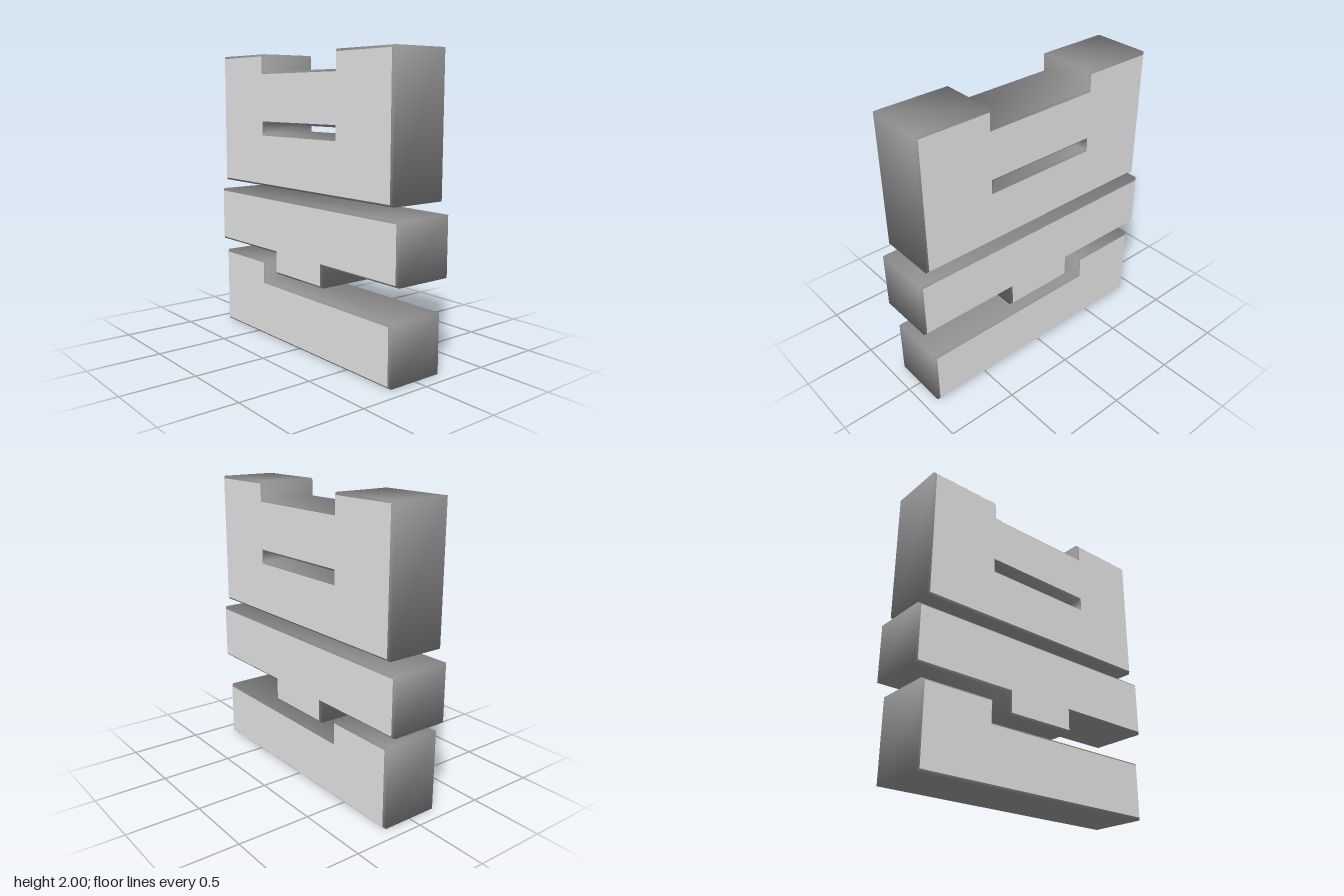
import * as THREE from 'three';

const DEPTH = 0.43;
const BEVEL = 0.015;

const toPoints = (pairs) => pairs.map(([x, y]) => new THREE.Vector2(x, y));

// Mirror the right half of an outline (bottom to top) onto the left
const mirrored = (half) => [...half, ...half.map(([x, y]) => [-x, y]).reverse()];

// Blend the normals of a range of loose triangles, weighted by corner angle
function smoothRange(geometry, { start, count }) {
  const { position, normal } = geometry.attributes;
  const point = (i) => new THREE.Vector3().fromBufferAttribute(position, i);
  const key = (i) => point(i).toArray().map((v) => Math.round(v * 1e4)).join();
  const sums = new Map();
  for (let i = start; i < start + count; i++) {
    const first = i - ((i - start) % 3);
    const next = first + ((i - first + 1) % 3);
    const last = first + ((i - first + 2) % 3);
    const angle = point(next).sub(point(i)).angleTo(point(last).sub(point(i)));
    const sum = sums.get(key(i)) ?? new THREE.Vector3();
    sum.addScaledVector(new THREE.Vector3().fromBufferAttribute(normal, i), angle);
    sums.set(key(i), sum);
  }
  for (let i = start; i < start + count; i++) {
    const n = sums.get(key(i)).clone().normalize();
    normal.setXYZ(i, n.x, n.y, n.z);
  }
}

// Thick slab: flat light faces, darker smooth rim with a narrow chamfer
function slab(name, outline, materials, hole) {
  const shape = new THREE.Shape(toPoints(outline));
  if (hole) shape.holes.push(new THREE.Path(toPoints(hole)));
  const geometry = new THREE.ExtrudeGeometry(shape, {
    depth: DEPTH - 2 * BEVEL,
    bevelEnabled: true,
    bevelThickness: BEVEL,
    bevelSize: BEVEL,
    bevelOffset: -BEVEL,
    bevelSegments: 1,
  });
  geometry.translate(0, 0, BEVEL - DEPTH / 2);
  smoothRange(geometry, geometry.groups[1]);
  const mesh = new THREE.Mesh(geometry, materials);
  mesh.name = name;
  return mesh;
}

export function createModel() {
  const face = new THREE.MeshStandardMaterial({ color: 0xe7e7e7 });
  face.name = 'light grey face';
  const rim = new THREE.MeshStandardMaterial({ color: 0x8f8f8f });
  rim.name = 'dark grey rim';
  const materials = [face, rim];

  const model = new THREE.Group();
  model.name = 'stackedBlocks';

  // Upper block: notched top edge and a horizontal slot
  const upper = mirrored([[0.905, 1.088], [0.905, 2], [0.39, 2], [0.39, 1.88]]);
  const slot = [[-0.387, 1.457], [-0.387, 1.525], [0.387, 1.525], [0.387, 1.457]];
  model.add(slab('upperBlock', upper, materials, slot));

  // Middle bar: wide, with a central tab hanging below
  const middle = mirrored([[0.26, 0.478], [0.26, 0.626], [0.96, 0.626], [0.96, 1.014]]);
  model.add(slab('middleBar', middle, materials));

  // Lower block: raised step at one end
  const lower = [
    [-0.905, 0], [0.905, 0], [0.905, 0.397],
    [-0.39, 0.397], [-0.39, 0.547], [-0.905, 0.547],
  ];
  model.add(slab('lowerBlock', lower, materials));

  return model;
}
